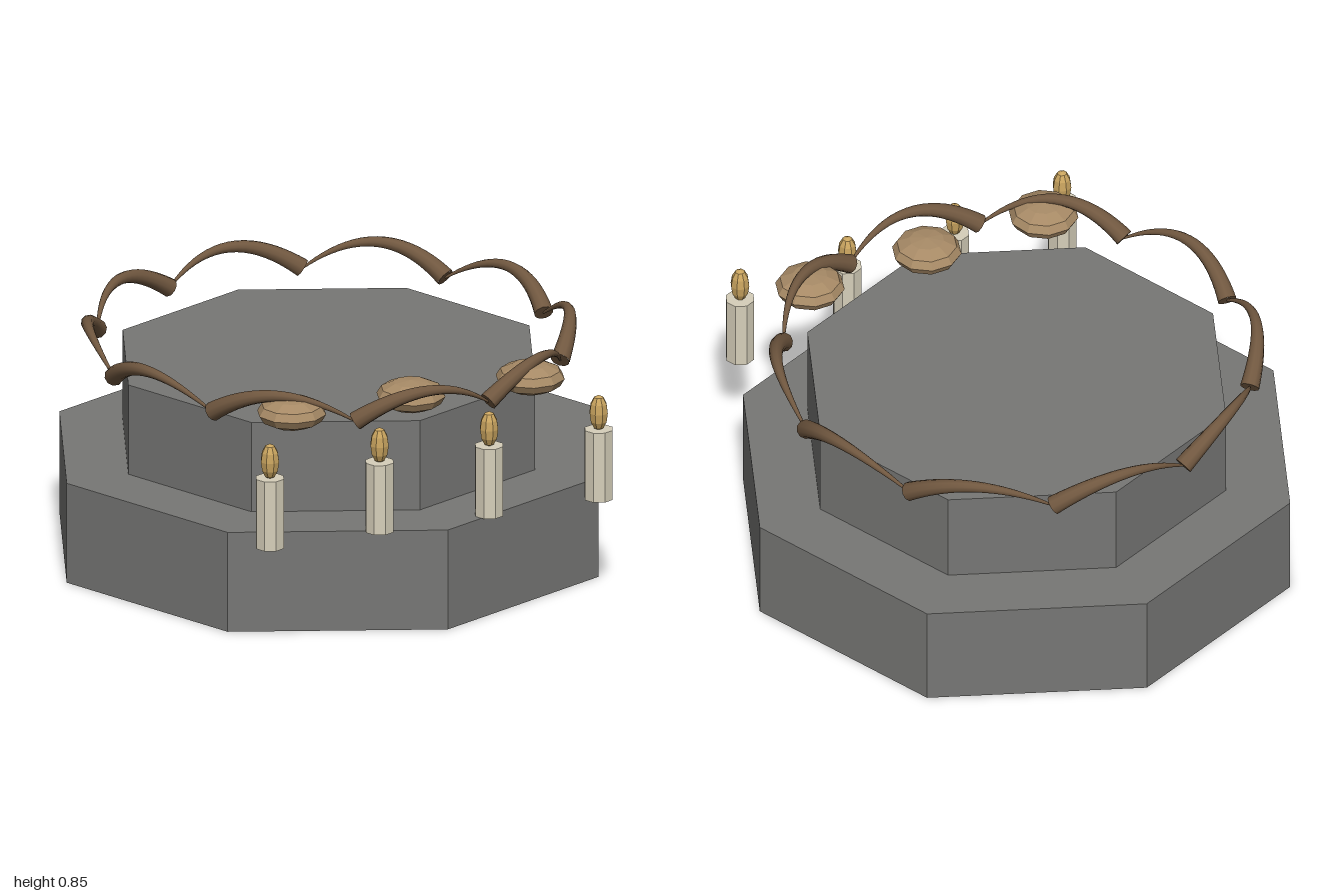
import * as THREE from 'three';

const flat = (geo) => {
  const g = geo.toNonIndexed();
  g.computeVertexNormals();
  return g;
};

const material = (name, color) => {
  const m = new THREE.MeshStandardMaterial({ color });
  m.name = name;
  return m;
};

// Closed tube along a curve whose radius shrinks from r0 to r1
function taperedTube(curve, r0, r1, steps = 20, sides = 10) {
  const geo = new THREE.TubeGeometry(curve, steps, 1, sides, false);
  const pos = geo.attributes.position;
  const v = new THREE.Vector3();
  for (let i = 0; i <= steps; i++) {
    const c = curve.getPointAt(i / steps);
    const r = THREE.MathUtils.lerp(r0, r1, i / steps);
    for (let j = 0; j <= sides; j++) {
      const k = i * (sides + 1) + j;
      v.fromBufferAttribute(pos, k).sub(c).multiplyScalar(r).add(c);
      pos.setXYZ(k, v.x, v.y, v.z);
    }
  }
  return geo;
}

export function createModel() {
  const model = new THREE.Group();
  const stone = material('grey stone', 0x777775);
  const wax = material('pale wax', 0xd6cfba);
  const flame = material('amber flame', 0xc9a45f);
  const bread = material('tan crust', 0xa78a66);
  const wood = material('brown vine', 0x715840);

  const add = (name, geo, mat, x, y, z, parent = model) => {
    const mesh = new THREE.Mesh(geo, mat);
    mesh.name = name;
    mesh.position.set(x, y, z);
    parent.add(mesh);
    return mesh;
  };

  // Two octagonal steps
  add('lowerStep', flat(new THREE.CylinderGeometry(1, 1, 0.365, 8)), stone, 0, 0.1825, 0);
  add('upperStep', flat(new THREE.CylinderGeometry(0.765, 0.765, 0.33, 8)), stone, 0, 0.528, 0);

  // Row of candles along the front
  const candleGeo = flat(new THREE.CylinderGeometry(0.052, 0.052, 0.255, 8));
  const flameGeo = flat(new THREE.SphereGeometry(0.034, 8, 6).scale(1, 1.9, 1));
  for (const x of [-0.637, -0.219, 0.199, 0.617]) {
    const candle = new THREE.Group();
    candle.name = 'candle';
    candle.position.set(x, 0.365, 0.908);
    add('candleStick', candleGeo, wax, 0, 0.1275, 0, candle);
    add('candleFlame', flameGeo, flame, 0, 0.315, 0, candle);
    model.add(candle);
  }

  // Three flattened round loaves
  const loafGeo = flat(new THREE.SphereGeometry(0.122, 10, 6).scale(1, 0.45, 1));
  for (const x of [-0.455, 0, 0.455]) add('loaf', loafGeo, bread, x, 0.765, 0.69);

  // Ring of ten arched, tapering vine pieces
  const garland = new THREE.Group();
  garland.name = 'garland';
  model.add(garland);
  const ringPoint = (angle, r, y) =>
    new THREE.Vector3(Math.cos(angle) * r, y, -Math.sin(angle) * r);
  const step = Math.PI / 5;
  for (let i = 0; i < 10; i++) {
    const a = i * step;
    const curve = new THREE.QuadraticBezierCurve3(
      ringPoint(a, 0.82, 0.732),
      ringPoint(a + step / 2, 0.9, 0.92),
      ringPoint(a + step, 0.82, 0.732)
    );
    add('vinePiece', taperedTube(curve, 0.034, 0.004), wood, 0, 0, 0, garland);
    // Cap on the thick end
    const cap = add('vineEnd', new THREE.CircleGeometry(0.034, 10), wood, 0, 0, 0, garland);
    cap.position.copy(curve.getPoint(0));
    cap.lookAt(cap.position.clone().sub(curve.getTangent(0)));
  }

  return model;
}
